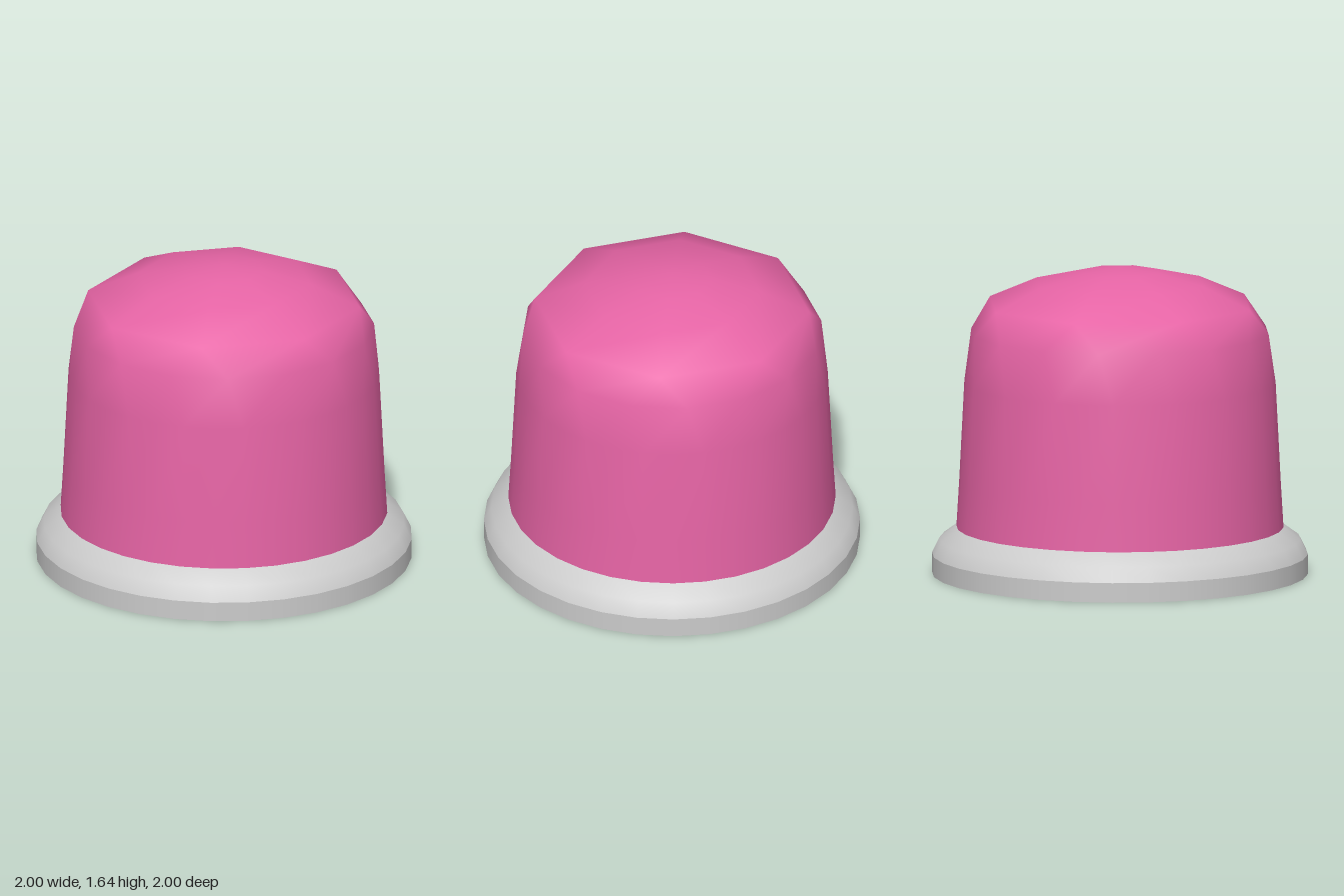
import * as THREE from 'three';

const DEG = Math.PI / 180;

// Domed shell from rings [radius, y, sides, turn]; the side count halves towards the top
function ringShell(rings) {
  const pos = [], index = [], starts = [];
  for (const [r, y, n, turn] of rings) {
    starts.push(pos.length / 3);
    for (let i = 0; i < n; i++) {
      const t = turn * DEG + (i / n) * Math.PI * 2;
      pos.push(r * Math.cos(t), y, r * Math.sin(t));
    }
  }
  for (let k = 0; k < rings.length - 1; k++) {
    const n = rings[k][2], m = rings[k + 1][2], step = n / m;
    for (let i = 0; i < n; i++) {
      const j = Math.floor(i / step);
      const a = starts[k] + i, b = starts[k] + (i + 1) % n;
      const c = starts[k + 1] + j, d = starts[k + 1] + (j + 1) % m;
      index.push(a, c, b);
      if (m > 1 && (i + 1) % step === 0) index.push(c, d, b);
    }
  }
  const geo = new THREE.BufferGeometry();
  geo.setAttribute('position', new THREE.Float32BufferAttribute(pos, 3));
  geo.setIndex(index);
  geo.computeVertexNormals();
  return geo;
}

function lathe(points) {
  return new THREE.LatheGeometry(points.map(([r, y]) => new THREE.Vector2(r, y)), 32);
}

export function createModel() {
  const group = new THREE.Group();
  const grey = new THREE.MeshStandardMaterial({ color: 0xcccccc, side: THREE.DoubleSide });
  const pink = new THREE.MeshStandardMaterial({ color: 0xe664a5, side: THREE.DoubleSide });
  const add = (name, geo, mat) => {
    const mesh = new THREE.Mesh(geo, mat);
    mesh.name = name;
    group.add(mesh);
  };

  // Flared collar: upright band with a rounded shoulder above a crisp edge
  add('collarBand', lathe([[1, 0], [1, 0.105]]), grey);
  add('collarShoulder', lathe([[1, 0.105], [0.96, 0.185], [0.87, 0.25]]), grey);

  // Tapered cap, open underneath
  add('domedCap', ringShell([
    [0.87, 0.25, 32, 0],
    [0.855, 0.5, 32, 0],
    [0.828, 1.03, 32, 0],
    [0.798, 1.3, 16, 5.625],
    [0.732, 1.45, 8, 16.875],
    [0.468, 1.565, 8, 16.875],
    [0.215, 1.622, 8, 16.875],
    [0, 1.645, 1, 0],
  ]), pink);

  return group;
}
